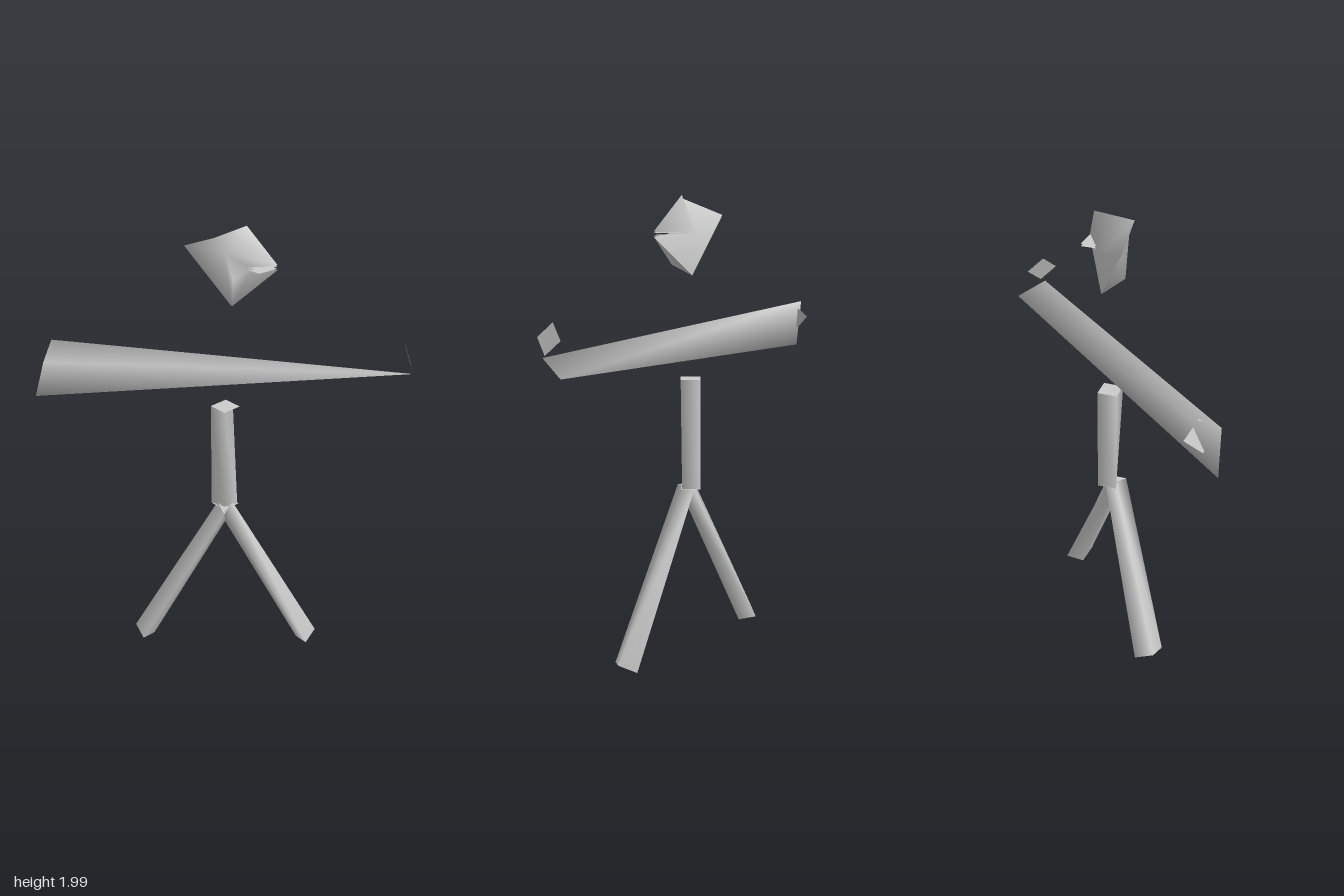
import * as THREE from 'three';

const grey = new THREE.MeshStandardMaterial({ color: 0xcccccc, side: THREE.DoubleSide });
grey.name = 'plain grey';

// Indexed surface with smooth normals
function surface(name, points, faces) {
  const g = new THREE.BufferGeometry();
  g.setAttribute('position', new THREE.Float32BufferAttribute(points.flat(), 3));
  g.setIndex(faces.flat());
  g.computeVertexNormals();
  const mesh = new THREE.Mesh(g, grey);
  mesh.name = name;
  return mesh;
}

const quad = (name, points) => surface(name, points, [[0, 1, 2], [0, 2, 3]]);

// Open tube between two rings with equal corner counts
function loft(name, ringA, ringB) {
  const n = ringA.length, faces = [];
  for (let i = 0; i < n; i++) {
    const j = (i + 1) % n;
    faces.push([i, j, n + j], [i, n + j, n + i]);
  }
  return surface(name, [...ringA, ...ringB], faces);
}

// Capped tube
function limb(name, ringA, ringB, capA = ringA, capB = ringB) {
  const group = new THREE.Group();
  group.name = name;
  group.add(loft(name + 'Side', ringA, ringB), quad(name + 'TopCap', capA), quad(name + 'EndCap', capB));
  return group;
}

// Folded head with a notch on its left and a hollow in front
function makeHead() {
  const group = new THREE.Group();
  group.name = 'head';
  const outline = [
    [-0.16, 1.92, -0.02], [-0.04, 1.985, 0.09], [0.08, 2.0, -0.02], [0.2, 1.86, 0.017],
    [0.1, 1.85, 0.03], [0.2, 1.84, 0.017], [0.02, 1.68, -0.02],
  ];
  const inner = [[0, 1.93, 0.09], [0.03, 1.72, 0.09], [0.03, 1.79, 0.0]]; // 7 brow, 8 chin, 9 pit
  group.add(surface('headFront', [...outline, ...inner], [
    [1, 0, 7], [2, 1, 7], [3, 2, 7], [4, 3, 7], [5, 4, 8], [6, 5, 8], [0, 6, 8],
    [0, 8, 7], [7, 8, 9], [7, 9, 4], [9, 8, 4],
  ]));
  const fan = outline.map((_, i) => [i, (i + 1) % 7, 7]);
  group.add(surface('headBack', [...outline, [0.01, 1.85, -0.03]], fan));
  // Flat ends either side of the notch
  for (const y of [1.855, 1.845]) {
    group.add(quad('notchCap', [[0.06, y, 0.01], [0.13, y, 0.075], [0.2, y, 0.017], [0.13, y, -0.055]]));
  }
  return group;
}

// Long tapered arm bar with a small diamond plate at each end
function makeArms() {
  const group = new THREE.Group();
  group.name = 'arms';
  group.add(surface('armBar', [
    [-0.78, 1.3, 0.055], [-0.725, 1.47, 0.09], [-0.71, 1.52, -0.02],
    [0.77, 1.36, -0.095], [0.75, 1.42, 0.035],
  ], [[0, 4, 1], [0, 3, 4], [1, 4, 2], [2, 4, 3], [2, 3, 0], [0, 1, 2]]));
  for (const [s, x, y] of [[1, 0.733, 1.49], [-1, 0.712, 1.45]]) {
    group.add(quad(s > 0 ? 'leftHand' : 'rightHand', [
      [s * (x - 0.021), y + 0.06, 0.015], [s * x, y, 0.085],
      [s * (x + 0.021), y - 0.06, 0.015], [s * x, y, -0.055],
    ]));
  }
  return group;
}

// Diamond-section leg running down and outward
function makeLeg(s) {
  const ring = (x, y, w, front, back) => [
    [s * (x + 0.875 * w), y + 0.484 * w, 0.02], [s * x, y, front],
    [s * (x - 0.875 * w), y - 0.484 * w, 0.02], [s * x, y, back],
  ];
  return limb(s > 0 ? 'leftLeg' : 'rightLeg',
    ring(0, 0.757, 0.038, 0.09, -0.012), ring(0.385, 0.037, 0.05, 0.09, -0.05));
}

export function createModel() {
  const model = new THREE.Group();
  model.name = 'stickFigure';
  // Torso, slightly skewed at the top
  const ring = (y, right, front, left, back) => [[right, y, 0.01], [0, y, front], [left, y, 0.01], [0, y, back]];
  const torso = limb('torso', ring(1.245, -0.06, 0.07, 0.032, -0.05), ring(0.765, -0.06, 0.042, 0.053, -0.05),
    ring(1.246, -0.06, 0.07, 0.06, -0.05), ring(0.764, -0.06, 0.07, 0.06, -0.05));
  model.add(makeHead(), makeArms(), torso, makeLeg(1), makeLeg(-1));
  return model;
}
